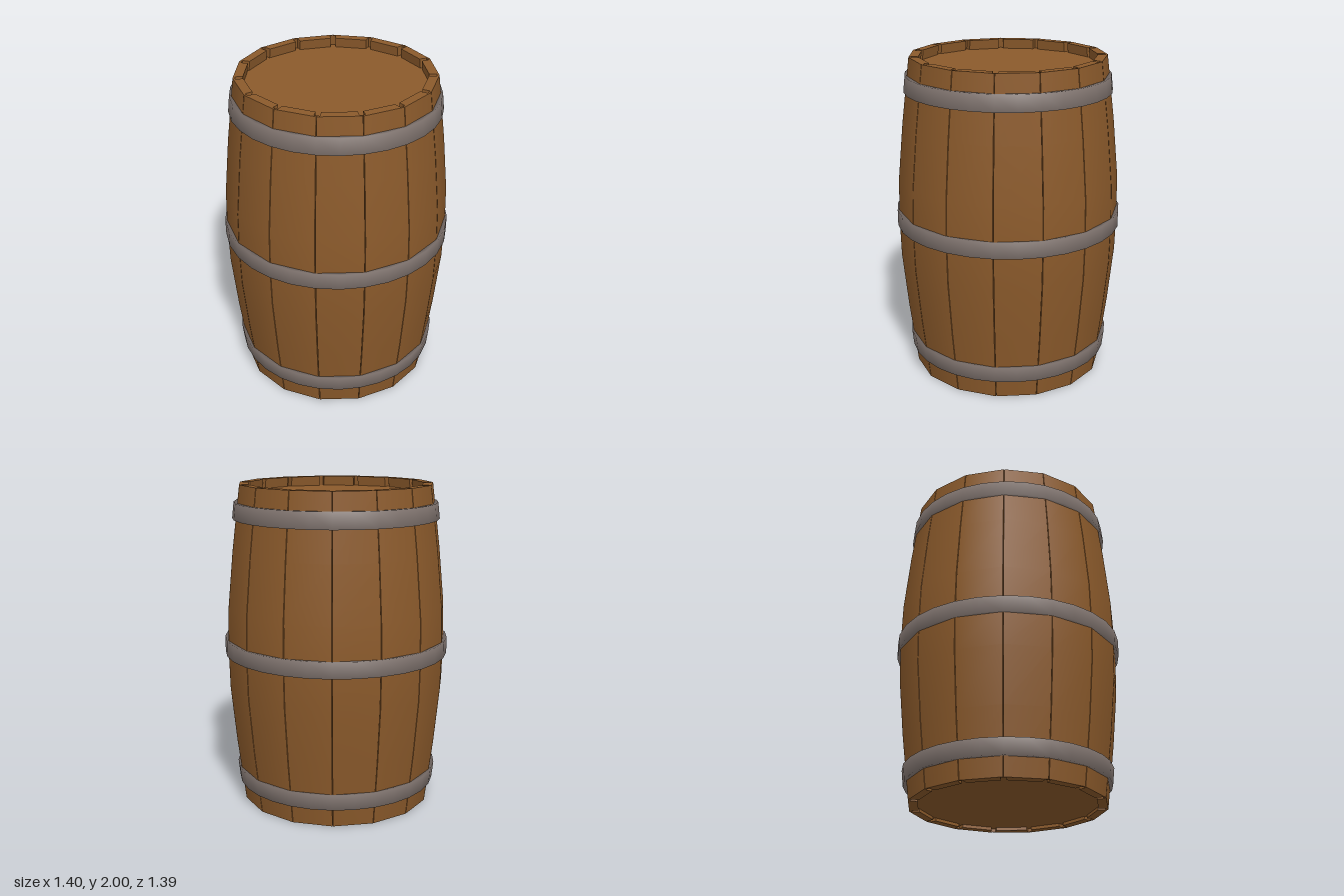
import * as THREE from 'three';

const STAVES = 15;
const HEIGHT = 2;
const wood = new THREE.MeshStandardMaterial({ color: 0x8b5a2b });
const iron = new THREE.MeshStandardMaterial({ color: 0x80746f });

// Belly curve: height and outer radius
const belly = [[0, 0.6], [0.4, 0.65], [0.75, 0.684], [1, 0.69], [1.25, 0.684], [1.6, 0.65], [HEIGHT, 0.6]];

// Stave cross-section: angle from its centre in degrees, depth below the outer surface
const section = [
  [-11.8, 0], [11.8, 0], [12, 0.015], [10.4, 0.015],
  [10.4, 0.06], [-10.4, 0.06], [-10.4, 0.015], [-12, 0.015],
];

// One stave, lofted along the belly and capped at both ends
function staveGeometry() {
  const n = section.length;
  const positions = [], index = [];
  for (const [y, r] of belly) {
    for (const [deg, depth] of section) {
      const a = THREE.MathUtils.degToRad(deg);
      positions.push((r - depth) * Math.cos(a), y, -(r - depth) * Math.sin(a));
    }
  }
  for (let row = 0; row < belly.length - 1; row++) {
    for (let i = 0; i < n; i++) {
      const a = row * n + i, b = row * n + (i + 1) % n;
      index.push(a, b, b + n, a, b + n, a + n);
    }
  }
  const outline = section.map((_, i) => new THREE.Vector2(positions[3 * i], -positions[3 * i + 2]));
  const top = (belly.length - 1) * n;
  for (const [a, b, c] of THREE.ShapeUtils.triangulateShape(outline, [])) {
    index.push(a, c, b, top + a, top + b, top + c);
  }
  const indexed = new THREE.BufferGeometry();
  indexed.setAttribute('position', new THREE.Float32BufferAttribute(positions, 3));
  indexed.setIndex(index);
  const geometry = indexed.toNonIndexed();
  geometry.computeVertexNormals();

  // Round the shading of the outer face so neighbouring staves blend
  const pos = geometry.attributes.position, normal = geometry.attributes.normal;
  const v = new THREE.Vector3();
  for (let i = 0; i < pos.count; i++) {
    if (normal.getX(i) < 0.9) continue;
    const y = pos.getY(i);
    const row = belly.findIndex((p) => Math.abs(p[0] - y) < 1e-4);
    const lo = belly[Math.max(row - 1, 0)], hi = belly[Math.min(row + 1, belly.length - 1)];
    const slope = (hi[1] - lo[1]) / (hi[0] - lo[0]);
    v.set(pos.getX(i), 0, pos.getZ(i)).normalize().setY(-slope).normalize();
    normal.setXYZ(i, v.x, v.y, v.z);
  }
  return geometry;
}

// Iron band with separate lower and upper radii
function hoop(name, y, lower, upper) {
  const h = 0.05, t = 0.035;
  const profile = [
    [(lower + upper) / 2 - t, y], [lower - t, y - h], [lower, y - h],
    [upper, y + h], [upper - t, y + h], [(lower + upper) / 2 - t, y],
  ].map(([r, py]) => new THREE.Vector2(r, py));
  const mesh = new THREE.Mesh(new THREE.LatheGeometry(profile, 30, Math.PI / 2), iron);
  mesh.name = name;
  return mesh;
}

// Flat round head set inside the staves
function head(name, y) {
  const mesh = new THREE.Mesh(
    new THREE.CylinderGeometry(0.584, 0.584, 0.04, STAVES, 1, false, Math.PI / 2), wood);
  mesh.name = name;
  mesh.position.y = y;
  return mesh;
}

export function createModel() {
  const barrel = new THREE.Group();
  barrel.name = 'barrel';

  // Ring of staves
  const staves = new THREE.Group();
  staves.name = 'staves';
  const geometry = staveGeometry();
  for (let i = 0; i < STAVES; i++) {
    const stave = new THREE.Mesh(geometry, wood);
    stave.name = `stave${i + 1}`;
    stave.rotation.y = (i + 0.5) * 2 * Math.PI / STAVES;
    staves.add(stave);
  }
  barrel.add(staves);

  // Heads: deeper at the top, almost flush at the bottom
  barrel.add(head('topHead', 1.92), head('bottomHead', 0.04));

  // Hoops
  barrel.add(
    hoop('bottomHoop', 0.165, 0.627, 0.638),
    hoop('middleHoop', 1, 0.7, 0.7),
    hoop('topHoop', 1.84, 0.638, 0.627),
  );
  return barrel;
}
